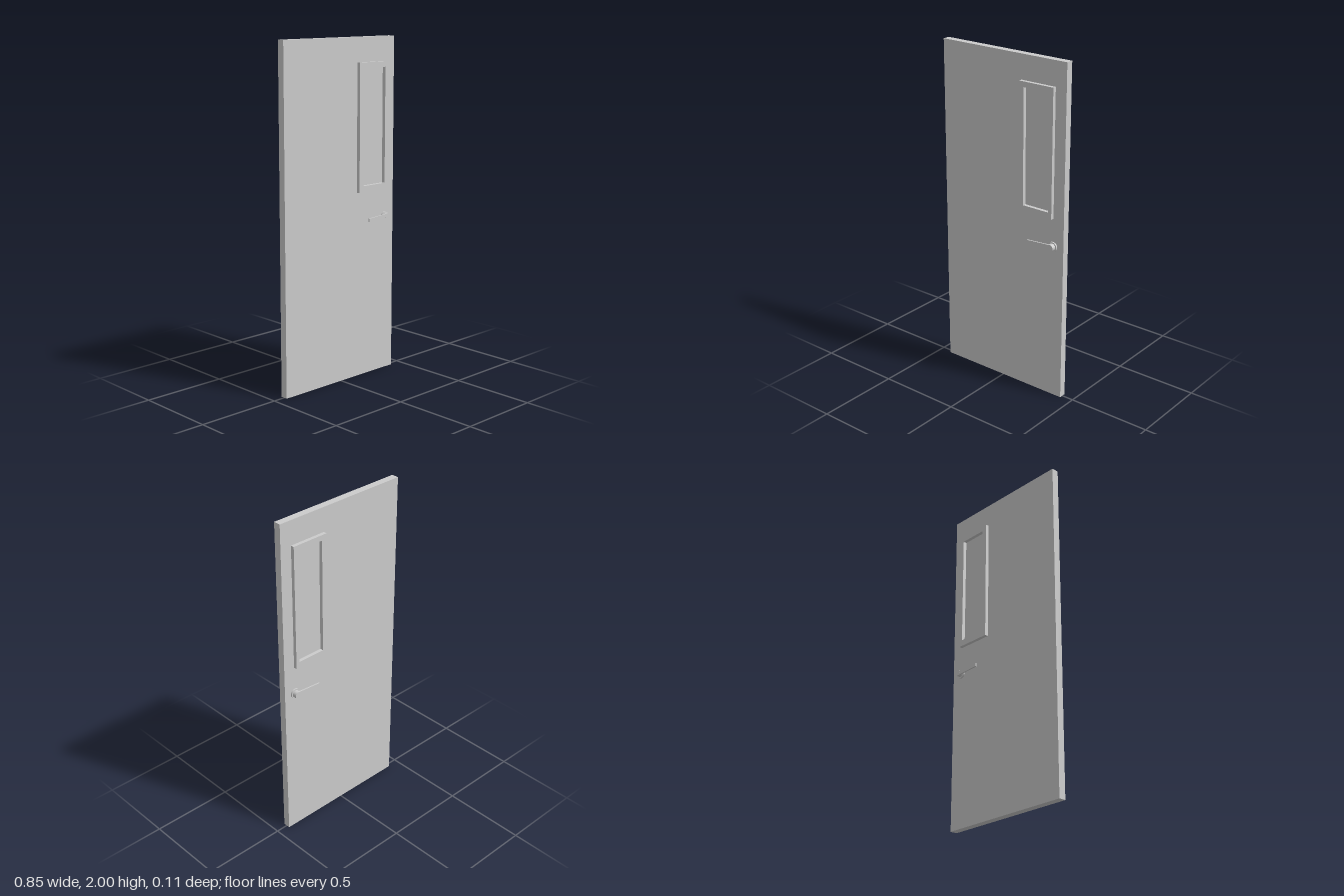
import * as THREE from 'three';

const material = new THREE.MeshStandardMaterial({ color: 0xcccccc });

function addMesh(parent, name, geometry, x = 0, y = 0, z = 0) {
  const mesh = new THREE.Mesh(geometry, material);
  mesh.name = name;
  mesh.position.set(x, y, z);
  parent.add(mesh);
  return mesh;
}

function rectangle(Type, x0, y0, x1, y1) {
  const r = new Type();
  r.moveTo(x0, y0);
  r.lineTo(x1, y0);
  r.lineTo(x1, y1);
  r.lineTo(x0, y1);
  r.closePath();
  return r;
}

const extrude = (shape, depth) =>
  new THREE.ExtrudeGeometry(shape, { depth, bevelEnabled: false, curveSegments: 16 });

const HALF = 0.0215; // half the door thickness

// Raised window surround and lever handle for one face of the door
function createFittings() {
  const side = new THREE.Group();

  // Window frame with a rectangular opening
  const frame = rectangle(THREE.Shape, 0.127, 1.11, 0.356, 1.857);
  frame.holes.push(rectangle(THREE.Path, 0.159, 1.147, 0.334, 1.825));
  addMesh(side, 'windowFrame', extrude(frame, HALF), 0, 0, HALF);

  // Handle: rosette, spindle hub and tapered lever
  const handle = new THREE.Group();
  handle.name = 'handle';
  handle.position.set(0.356, 0.942, HALF);
  side.add(handle);
  const disc = (r, depth) => new THREE.CylinderGeometry(r, r, depth, 32).rotateX(Math.PI / 2);
  addMesh(handle, 'rosette', disc(0.029, 0.009), 0, 0, 0.0045);
  addMesh(handle, 'hub', disc(0.0215, 0.033), 0, 0, 0.0165);

  const lever = new THREE.Shape();
  lever.moveTo(0, 0.02);
  lever.lineTo(-0.159, 0.009);
  lever.lineTo(-0.159, -0.011);
  lever.lineTo(0, -0.02);
  lever.closePath();
  addMesh(handle, 'lever', extrude(lever, 0.008), 0, 0, 0.0248);
  // Thicker root where the lever meets the hub
  addMesh(handle, 'leverRoot', new THREE.BoxGeometry(0.02, 0.034, 0.012), -0.01, 0, 0.0265);
  return side;
}

export function createModel() {
  const model = new THREE.Group();
  model.name = 'door';
  addMesh(model, 'doorPanel', new THREE.BoxGeometry(0.854, 2, HALF * 2), 0, 1, 0);

  // Same fittings on both faces, mirrored front to back
  const front = createFittings();
  front.name = 'frontFittings';
  const back = createFittings();
  back.name = 'backFittings';
  back.scale.z = -1;
  model.add(front, back);
  return model;
}
